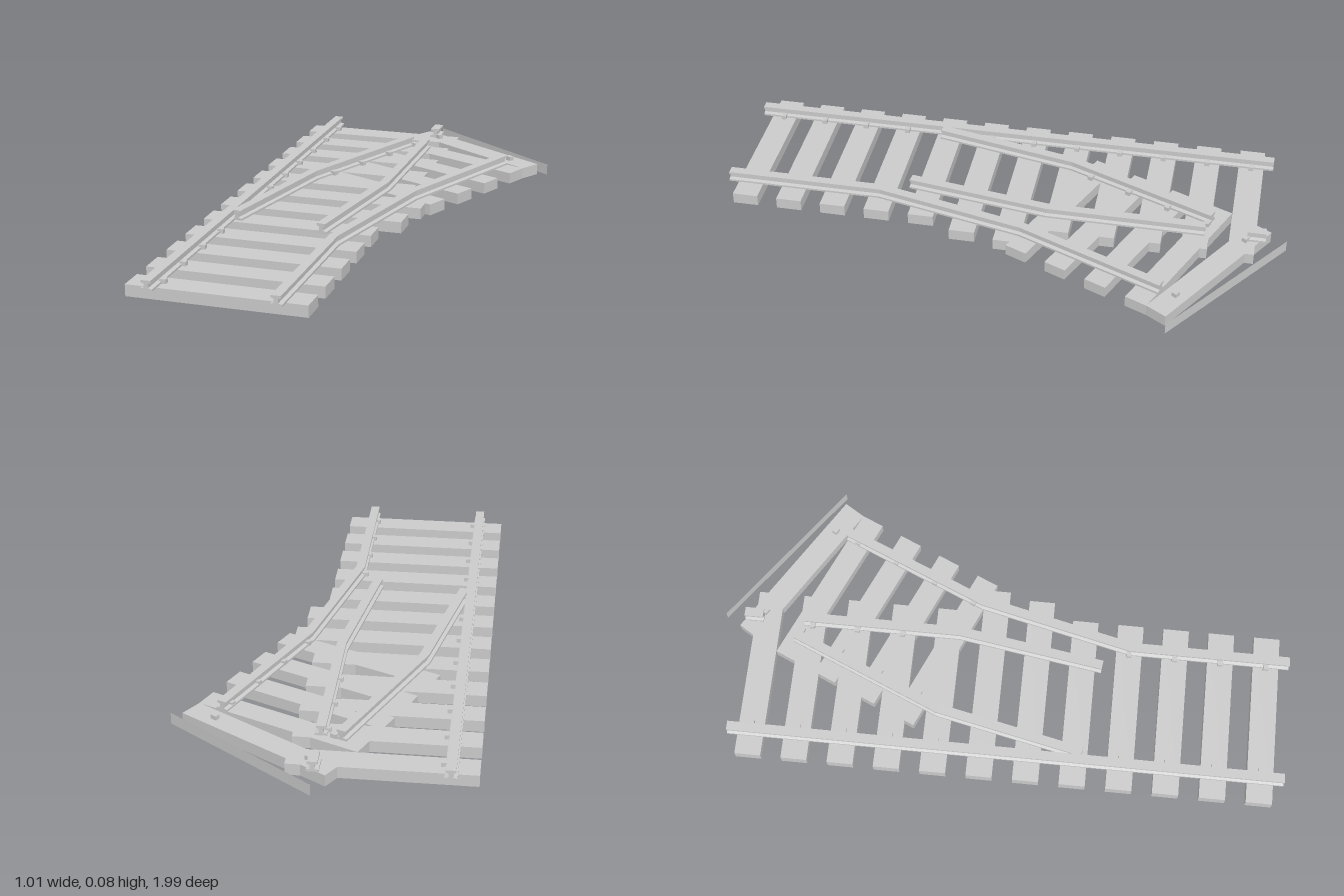
import * as THREE from 'three';

const grey = new THREE.MeshStandardMaterial({ color: 0xcccccc, flatShading: true, side: THREE.DoubleSide });
const TIE_H = 0.04, RAIL_TOP = 0.075;

export function createModel() {
  const root = new THREE.Group();
  const add = (name, geometry, parent = root) => {
    const mesh = new THREE.Mesh(geometry, grey);
    mesh.name = name;
    parent.add(mesh);
    return mesh;
  };

  // Hollow sleeper: a box open at the bottom, turned by an angle in plan
  function tie(name, x, z, length, width, angle = 0, bolts = []) {
    const group = new THREE.Group();
    group.name = name;
    group.position.set(x, 0, z);
    group.rotation.y = -angle;
    root.add(group);
    const box = new THREE.BoxGeometry(length, TIE_H, width);
    const index = Array.from(box.index.array);
    index.splice(18, 6);
    box.setIndex(index);
    box.clearGroups();
    box.translate(0, TIE_H / 2, 0);
    add('tieShell', box, group);
    // Rail clips, with their pins reaching into the hollow
    for (const u of bolts) {
      add('railClip', new THREE.BoxGeometry(0.022, 0.034, 0.018), group).position.set(u, 0.038, 0);
    }
  }

  // I-shaped rail swept along a bent plan path of [x, z] points with mitred joints
  const half = [[0.02, TIE_H], [0.02, 0.047], [0.007, 0.05], [0.007, 0.064], [0.016, 0.067], [0.016, RAIL_TOP]];
  const profile = [...half, ...half.map(([x, y]) => [-x, y]).reverse()];
  function rail(name, path) {
    const pts = path.map(([x, z]) => new THREE.Vector2(x, z));
    const dirs = pts.slice(1).map((p, i) => p.clone().sub(pts[i]).normalize());
    const steps = dirs.length;
    const shape = new THREE.Shape(profile.map(([x, y]) => new THREE.Vector2(x, y)));
    const geo = new THREE.ExtrudeGeometry(shape, { depth: steps, steps, bevelEnabled: false });
    const pos = geo.attributes.position;
    for (let v = 0; v < pos.count; v++) {
      const i = Math.round(pos.getZ(v));
      const a = dirs[Math.max(i - 1, 0)], b = dirs[Math.min(i, steps - 1)];
      const d = a.clone().add(b).normalize();
      const off = pos.getX(v) / d.dot(a);
      pos.setXYZ(v, pts[i].x + d.y * off, pos.getY(v), pts[i].y - d.x * off);
    }
    geo.computeVertexNormals();
    add(name, geo);
  }

  // Sleepers of the straight track; two are lengthened where the branch leaves
  const extra = { 5: 0.06, 6: 0.085 };
  for (let i = 0; i < 12; i++) {
    const z = 0.915 - i * 0.16;
    const length = 0.6 + (extra[i] || 0);
    const x = -0.505 + length / 2;
    const clips = [-0.395];
    if (i < 4 || (i > 7 && i < 11)) clips.push(-0.014);
    tie('straightTie', x, z, length, 0.09, 0, clips.map((c) => c - x));
  }

  // Sleepers of the branch track
  for (let i = 0; i < 4; i++) {
    tie('branchTie', 0.135 - i * 0.0635, -0.643 + i * 0.1455, 0.595, 0.081, 0.412, [-0.19, 0.2]);
  }
  tie('branchEndTie', 0.193, -0.751, 0.592, 0.081, 0.555, [-0.2, 0.19]);

  // Thin upright plate beyond the end of the branch
  const plate = add('endPlate', new THREE.PlaneGeometry(0.62, TIE_H));
  plate.position.set(0.2525, TIE_H / 2, -0.815);
  plate.rotation.y = -Math.atan2(0.365, 0.505);

  // Rails
  rail('outerStraightRail', [[-0.418, 0.995], [-0.418, -0.925]]);
  rail('outerBranchRail', [[0.004, 0.995], [0.004, 0.44], [0.125, -0.09], [0.342, -0.6]]);
  rail('innerStraightRail', [[-0.072, 0.345], [0.004, -0.16], [0.004, -0.715]]);
  rail('innerBranchRail', [[-0.392, 0.3], [-0.285, -0.21], [-0.062, -0.735]]);
  rail('railStub', [[0.004, -0.86], [0.004, -0.925]]);

  return root;
}
